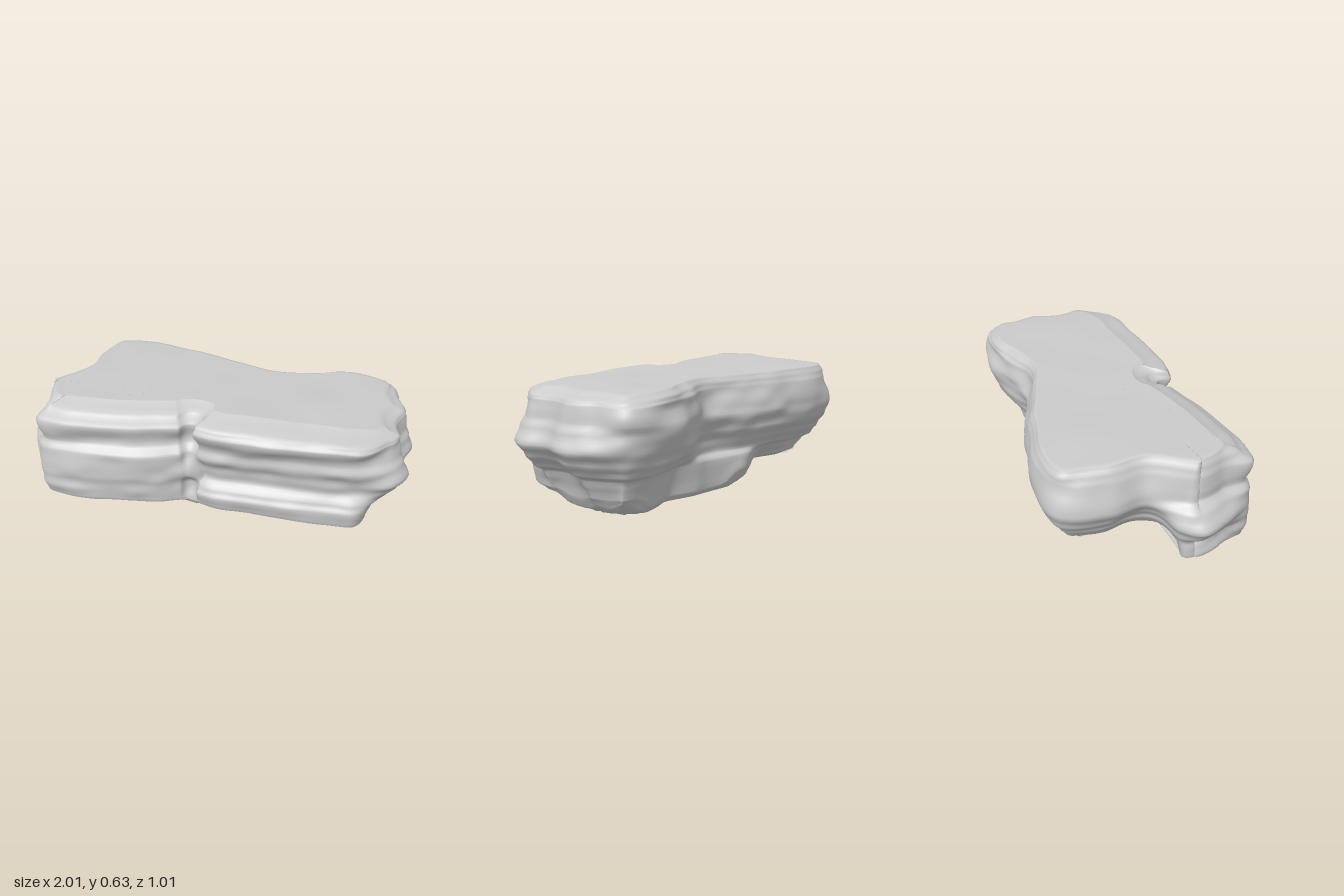
import * as THREE from 'three';

const SEGMENTS = 256;   // samples around the slab
const STEPS = 4;        // rows between two strata levels
const { lerp, smoothstep } = THREE.MathUtils;

// Smooth seeded value noise, -1..1
function hash(i, j, k) {
  const s = Math.sin(i * 127.1 + j * 311.7 + k * 74.7) * 43758.5453;
  return (s - Math.floor(s)) * 2 - 1;
}
const ease = t => t * t * (3 - 2 * t);
function noise(x, y, z) {
  const i = Math.floor(x), j = Math.floor(y), k = Math.floor(z);
  const u = ease(x - i), v = ease(y - j), w = ease(z - k);
  const plane = c => lerp(lerp(hash(i, j, c), hash(i + 1, j, c), u),
    lerp(hash(i, j + 1, c), hash(i + 1, j + 1, c), u), v);
  return lerp(plane(k), plane(k + 1), w);
}

// Loft a rock slab. outline: [x, z, sector]; heights: levels;
// insets[sector][level]: how far the wall steps inward there.
function rockSlab(outline, heights, insets, shapeY) {
  const curve = new THREE.CatmullRomCurve3(
    outline.map(([x, z]) => new THREE.Vector3(x, 0, z)), true, 'centripetal');
  const count = outline.length;
  const columns = [];
  for (let i = 0; i < SEGMENTS; i++) {
    const t = i / SEGMENTS, p = curve.getPoint(t);
    const d = curve.getPoint((t + 0.018) % 1).sub(curve.getPoint((t + 0.982) % 1)).normalize();
    const c = Math.floor(t * count);
    columns.push({ p, nx: -d.z, nz: d.x, f: ease(t * count - c),
      a: insets[outline[c][2]], b: insets[outline[(c + 1) % count][2]] });
  }
  const rows = [];
  const ring = (level, f) => {
    const next = Math.min(level + 1, heights.length - 1);
    const y = lerp(heights[level], heights[next], f);
    return columns.map(c => {
      const at = l => lerp(c.a[l], c.b[l], c.f);
      // broad horizontal ledges plus smaller chips
      const inset = lerp(at(level), at(next), ease(f)) + 0.006
        + 0.016 * noise(c.p.x * 3.5, y * 10, c.p.z * 3.5)
        + 0.008 * noise(c.p.x * 9 + 7, y * 17, c.p.z * 9);
      return [c.p.x + c.nx * inset, y, c.p.z + c.nz * inset];
    });
  };
  for (let l = 0; l < heights.length - 1; l++)
    for (let s = 0; s < STEPS; s++) rows.push(ring(l, s / STEPS));
  rows.push(ring(heights.length - 1, 0));

  // Close bottom and top with rings shrinking to the middle
  const cx = outline.reduce((s, p) => s + p[0], 0) / count;
  const cz = outline.reduce((s, p) => s + p[1], 0) / count;
  const shrink = (row, k) => row.map(([x, y, z]) => [cx + (x - cx) * k, y, cz + (z - cz) * k]);
  const low = rows[0], high = rows[rows.length - 1];
  for (let k = 0.97; k > 0; k -= 0.04) {
    rows.unshift(shrink(low, k));
    rows.push(shrink(high, k));
  }

  const position = [], index = [];
  for (const row of rows)
    for (const [x, y, z] of row)
      position.push(x, shapeY(x, y, z), z);
  for (let r = 0; r < rows.length - 1; r++) {
    for (let i = 0; i < SEGMENTS; i++) {
      const j = (i + 1) % SEGMENTS;
      const a = r * SEGMENTS + i, b = r * SEGMENTS + j;
      index.push(a, a + SEGMENTS, b, b, a + SEGMENTS, b + SEGMENTS);
    }
  }
  // centre points of both caps
  const bottom = position.length / 3, last = (rows.length - 1) * SEGMENTS;
  position.push(cx, shapeY(cx, heights[0], cz), cz);
  position.push(cx, shapeY(cx, heights[heights.length - 1], cz), cz);
  for (let i = 0; i < SEGMENTS; i++) {
    const j = (i + 1) % SEGMENTS;
    index.push(bottom, i, j, bottom + 1, last + j, last + i);
  }
  const geometry = new THREE.BufferGeometry();
  geometry.setAttribute('position', new THREE.Float32BufferAttribute(position, 3));
  geometry.setIndex(index);
  geometry.computeVertexNormals();
  return geometry;
}

export function createModel() {
  const group = new THREE.Group();
  group.name = 'layeredRock';

  // Sectors: 0 left bump, 1 front-left lobe, 2 front crevice,
  // 3 front-right lobe, 4 right end, 5 back-right lobe, 6 back middle,
  // 7 back-left, 8 shoulders of the left bump
  const outline = [
    [-0.78, -0.43, 7], [-0.56, -0.5, 7], [-0.3, -0.47, 7], [-0.02, -0.43, 6],
    [0.22, -0.37, 6], [0.38, -0.43, 5], [0.62, -0.505, 5], [0.86, -0.47, 5],
    [0.97, -0.31, 4], [1.01, -0.16, 4], [0.97, -0.02, 4], [1.0, 0.11, 4],
    [0.94, 0.23, 4], [0.76, 0.33, 3], [0.5, 0.37, 3], [0.25, 0.39, 3],
    [0.05, 0.405, 3], [-0.04, 0.385, 3], [-0.08, 0.355, 2], [-0.12, 0.37, 1],
    [-0.25, 0.42, 1], [-0.45, 0.47, 1], [-0.7, 0.505, 1], [-0.84, 0.485, 1],
    [-0.93, 0.35, 8], [-1.01, 0.19, 0], [-0.95, 0.08, 8], [-0.81, -0.02, 7],
    [-0.83, -0.2, 7],
  ];
  const heights = [0.085, 0.11, 0.18, 0.215, 0.27, 0.33, 0.4, 0.45, 0.54, 0.575, 0.612];
  const insets = [
    [0.15, 0.09, 0.09, 0.1, 0.03, 0, 0.04, 0.12, 0.13, 0.15, 0.17],
    [0.06, 0.015, 0.01, 0.01, 0, 0, 0, 0.035, 0.015, 0.08, 0.18],
    [0.03, 0.02, 0.04, 0.04, 0, 0, 0.03, 0.06, 0.06, 0.12, 0.2],
    [0.08, 0.03, 0.01, 0.03, 0.07, 0.06, 0.03, 0.04, 0, 0.02, 0.15],
    [0.2, 0.17, 0.13, 0.08, 0.04, 0, 0.03, 0.05, 0.06, 0.07, 0.14],
    [0.17, 0.15, 0.14, 0.07, 0.04, 0.02, 0.01, 0, 0.02, 0.04, 0.08],
    [0.06, 0.04, 0.04, 0.07, 0.06, 0.03, 0, 0.01, 0.03, 0.04, 0.06],
    [0.24, 0.19, 0.16, 0.1, 0.06, 0.02, 0, 0, 0.02, 0.03, 0.05],
    [0.08, 0.05, 0.05, 0.05, 0.02, 0, 0.03, 0.08, 0.09, 0.1, 0.12],
  ];

  // Upper surface tips up to the left and front and drops at the right rim;
  // a rounded foot swells down from the right half of the underside
  const shapeY = (x, y, z) => {
    const top = smoothstep(y, 0.48, 0.61);
    const bottom = 1 - smoothstep(y, 0.09, 0.2);
    const r = (((x - 0.26) / 0.53) ** 4 + ((z + 0.075) / 0.28) ** 4) ** 0.25;
    const foot = 1 - smoothstep(r, 0.92, 1.08);
    const footDrop = -0.08 + 0.045 * (1 - smoothstep(x, -0.25, 0.2));
    return y
      + top * (-0.024 * x + 0.03 * z - 0.012 * smoothstep(x, 0.6, 0.9)
        + 0.006 * noise(x * 4, 3, z * 4))
      + bottom * lerp(-0.02 * x, footDrop, foot);
  };

  const slab = new THREE.Mesh(rockSlab(outline, heights, insets, shapeY),
    new THREE.MeshStandardMaterial({ color: 0xcccccc }));
  slab.name = 'rockSlab';
  group.add(slab);
  return group;
}
